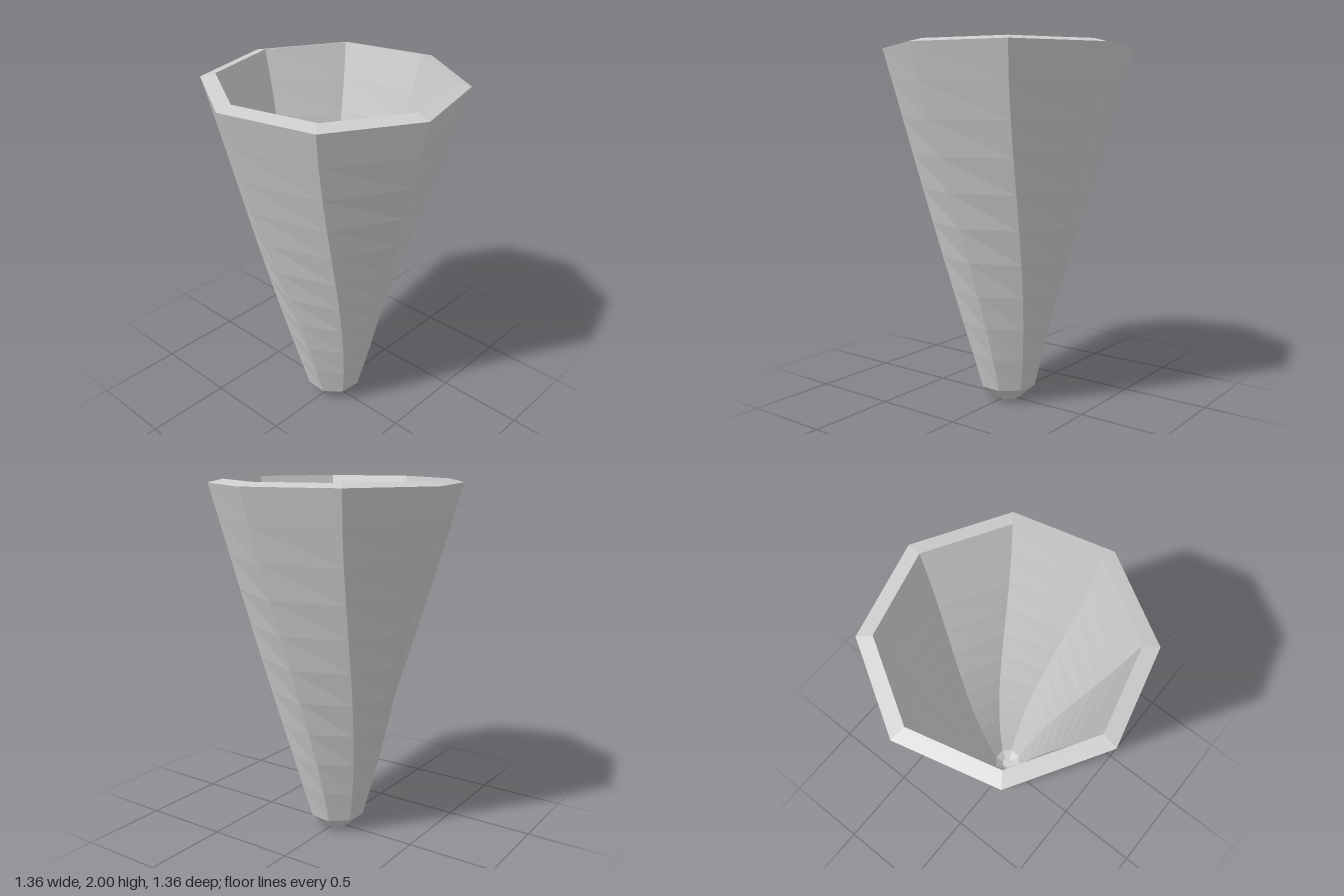
import * as THREE from 'three';

const SIDES = 8;
const STEPS = 10;
const BASE_ANGLE = -0.32;
const TWIST = 0.467;

// Ring of the profile: radius, height and turn
const ring = (r, y, turn = 0) => ({ r, y, a: BASE_ANGLE + turn });

// Straight taper whose twist eases out towards the top
function twistedWall(r0, y0, r1, y1) {
  const rings = [];
  for (let i = 0; i <= STEPS; i++) {
    const t = i / STEPS;
    rings.push(ring(r0 + (r1 - r0) * t, y0 + (y1 - y0) * t, TWIST * Math.sin(t * Math.PI / 2)));
  }
  return rings;
}

// Joins successive octagonal rings with flat faces
function loft(name, rings, material) {
  const points = [];
  const corner = ({ r, y, a }, j) => {
    const angle = a + (j % SIDES) * Math.PI * 2 / SIDES;
    return [r * Math.cos(angle), y, r * Math.sin(angle)];
  };
  for (let i = 0; i < rings.length - 1; i++) {
    const low = rings[i], up = rings[i + 1];
    for (let j = 0; j < SIDES; j++) {
      const a = corner(low, j), b = corner(up, j), c = corner(up, j + 1), d = corner(low, j + 1);
      if (up.r > 0) points.push(...a, ...b, ...c);
      if (low.r > 0) points.push(...a, ...c, ...d);
    }
  }
  const geometry = new THREE.BufferGeometry();
  geometry.setAttribute('position', new THREE.Float32BufferAttribute(points, 3));
  geometry.computeVertexNormals();
  const mesh = new THREE.Mesh(geometry, material);
  mesh.name = name;
  return mesh;
}

export function createModel() {
  const group = new THREE.Group();
  group.name = 'twistedCup';
  const grey = new THREE.MeshStandardMaterial({ color: 0xcccccc, flatShading: true });
  grey.name = 'light grey';

  const outer = twistedWall(0.16, 0.08, 0.687, 1.98);
  const inner = twistedWall(0.081, 0.126, 0.606, 2).reverse();

  group.add(
    // Chamfered foot with a flat underside
    loft('foot', [ring(0, 0), ring(0.07, 0), outer[0]], grey),
    loft('outerWall', outer, grey),
    // Rim slopes gently up towards the opening
    loft('rim', [outer[STEPS], inner[0]], grey),
    loft('innerWall', inner, grey),
    // Small bowl at the bottom of the hollow
    loft('innerFloor', [inner[STEPS], ring(0.034, 0.082), ring(0, 0.082)], grey)
  );
  return group;
}
